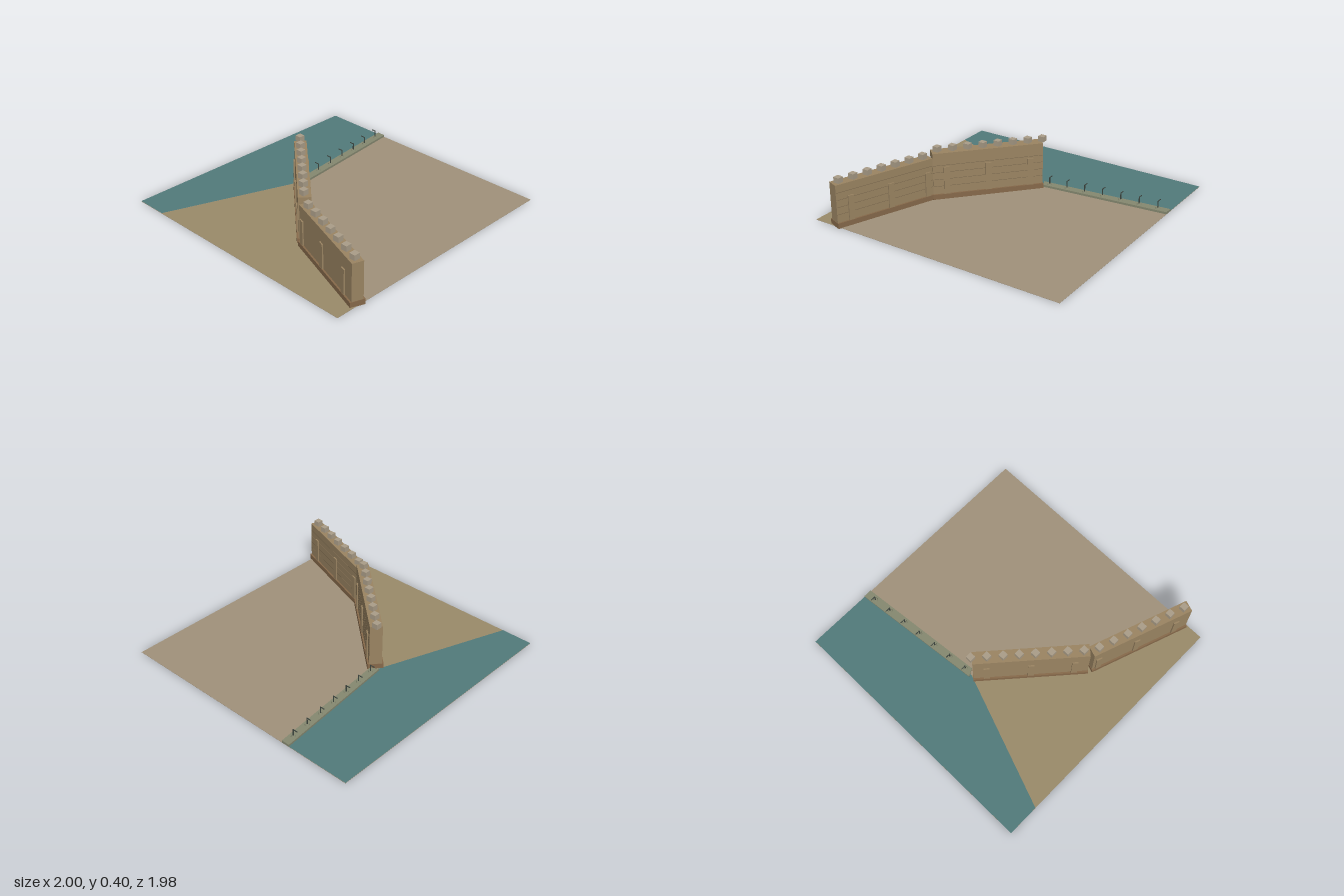
import * as THREE from 'three';

const mat = (color) => new THREE.MeshStandardMaterial({ color, flatShading: true });
const land = mat(0xa0917a), shore = mat(0x998a69), sea = mat(0x527a7a);
const stone = mat(0x9a8462), plinthStone = mat(0x86694a), capStone = mat(0xaa9d88);
const courseStone = mat(0x7d6a4e), dockStone = mat(0x858870), iron = mat(0x3c443e);

function add(parent, name, geometry, material, x = 0, y = 0, z = 0) {
  const mesh = new THREE.Mesh(geometry, material);
  mesh.name = name;
  mesh.position.set(x, y, z);
  parent.add(mesh);
  return mesh;
}

const box = (w, h, d) => new THREE.BoxGeometry(w, h, d);

// Flat polygon on the ground, given as [x, z] corners
function patch(parent, name, points, material, y) {
  const shape = new THREE.Shape(points.map(([x, z]) => new THREE.Vector2(x, -z)));
  const geometry = new THREE.ShapeGeometry(shape).rotateX(-Math.PI / 2);
  return add(parent, name, geometry, material, 0, y, 0);
}

// Straight wall: plinth, body, buttresses on both faces, stone courses, merlons
function wall(parent, name, { from, to, height, width, stops, firstMerlon, lastMerlon, count }) {
  const dx = to[0] - from[0], dz = to[1] - from[1];
  const length = Math.hypot(dx, dz);
  const g = new THREE.Group();
  g.name = name;
  g.position.set((from[0] + to[0]) / 2, 0, (from[1] + to[1]) / 2);
  g.rotation.y = -Math.atan2(dz, dx);
  parent.add(g);

  const bodyWidth = width - 0.025;
  add(g, 'plinth', box(length, 0.04, width), plinthStone, 0, 0.02, 0);
  add(g, 'wallBody', box(length - 0.006, height, bodyWidth), stone, 0, height / 2, 0);

  const buttressHeight = height * 0.7;
  for (const t of stops) {
    for (const side of [-1, 1]) {
      add(g, 'buttress', box(0.043, buttressHeight, 0.02), stone,
        (t - 0.5) * length, buttressHeight / 2, side * bodyWidth / 2);
    }
  }
  for (let i = 0; i < 4; i++) {
    add(g, 'stoneCourse', box(length - 0.01, 0.003, 0.002), courseStone,
      0, 0.1 + i * 0.054, -bodyWidth / 2);
  }

  // Merlons stay square to the ground grid
  for (let i = 0; i < count; i++) {
    const t = i / (count - 1);
    add(parent, 'merlon', box(0.045, 0.04, 0.045), capStone,
      THREE.MathUtils.lerp(firstMerlon[0], lastMerlon[0], t), height + 0.02,
      THREE.MathUtils.lerp(firstMerlon[1], lastMerlon[1], t));
  }
}

export function createModel() {
  const model = new THREE.Group();
  model.name = 'harbourWall';

  // Ground, with the shore outside the wall and the sea
  add(model, 'ground', box(1.975, 0.002, 1.98), land, -0.0125, 0.001, 0);
  patch(model, 'outerShore', [[-0.39, 0], [-0.76, 0.99], [0.975, 0.99], [0.975, 0.815], [0.24, 0.55]],
    shore, 0.003);
  patch(model, 'sea', [[-1, -0.99], [-1, 0.99], [-0.76, 0.99], [-0.39, 0], [-0.48, -0.99]], sea, 0.004);

  // Two wall runs meeting at a bend
  wall(model, 'tallWall', {
    from: [-0.376, 0.002], to: [0.238, 0.548], height: 0.355, width: 0.115, stops: [0.12, 0.5, 0.875],
    firstMerlon: [-0.38, 0], lastMerlon: [0.2, 0.52], count: 8,
  });
  wall(model, 'lowWall', {
    from: [0.245, 0.555], to: [0.977, 0.815], height: 0.32, width: 0.108, stops: [0.06, 0.45, 0.855],
    firstMerlon: [0.3, 0.575], lastMerlon: [0.93, 0.798], count: 7,
  });

  // Quay strip along the water
  const quay = new THREE.Shape([[-0.513, 0.99], [-0.45, 0.99], [-0.355, 0.03], [-0.412, 0]]
    .map(([x, y]) => new THREE.Vector2(x, y)));
  add(model, 'quay', new THREE.ExtrudeGeometry(quay, { depth: 0.018, bevelEnabled: false })
    .rotateX(-Math.PI / 2), dockStone);

  // Mooring posts: round foot, mast, and a thin arm reaching over the water
  for (let i = 0; i < 7; i++) {
    const post = new THREE.Group();
    post.name = 'mooringPost';
    post.position.set(-0.475 + i * 0.0145, 0.018, -0.91 + i * 0.141);
    model.add(post);
    add(post, 'foot', new THREE.CylinderGeometry(0.014, 0.018, 0.008, 10), dockStone, 0, 0.004, 0);
    add(post, 'mast', new THREE.CylinderGeometry(0.004, 0.005, 0.057, 8), iron, 0, 0.0285, 0);
    add(post, 'arm', box(0.036, 0.005, 0.005), iron, -0.017, 0.055, 0);
  }
  return model;
}
